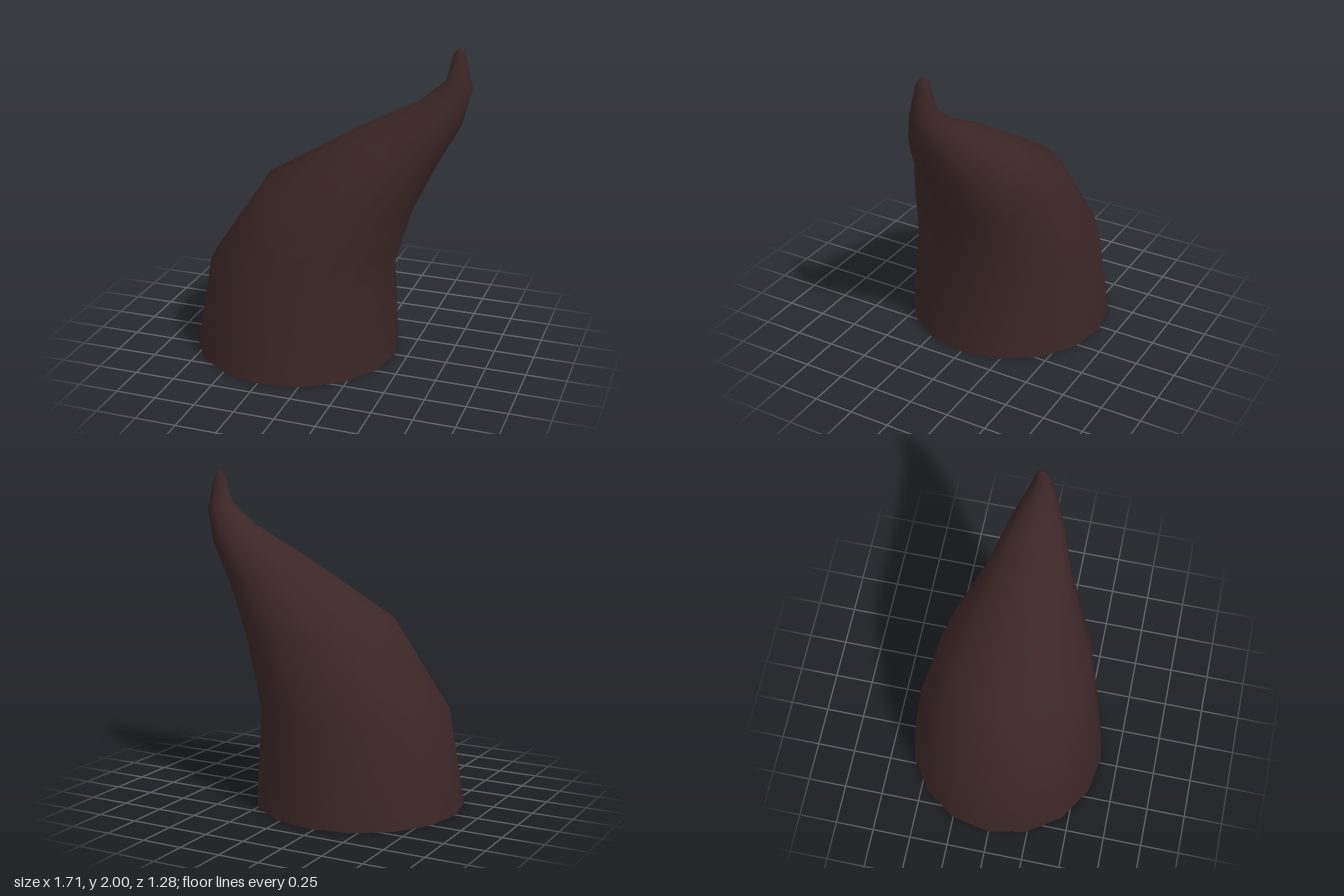
import * as THREE from 'three';

const SIDES = 16;

// Tilted cross-sections: left edge x, y; right edge x, y; half depth
const RINGS = [
  [-0.86, 0, 0.42, 0, 0.64],
  [-0.76, 0.59, 0.39, 0.56, 0.577],
  [-0.395, 1.13, 0.515, 0.985, 0.46],
  [0.16, 1.465, 0.655, 1.28, 0.265],
  [0.535, 1.66, 0.797, 1.54, 0.155],
  [0.695, 1.795, 0.852, 1.75, 0.08],
  [0.735, 1.955, 0.808, 1.95, 0.038],
];
const TIP = [0.77, 2, 0];

// Skin the cross-sections and close them with a point
function hornGeometry() {
  const positions = [];
  const index = [];
  for (const [lx, ly, rx, ry, depth] of RINGS) {
    for (let j = 0; j < SIDES; j++) {
      const a = (j / SIDES) * Math.PI * 2;
      const t = (1 + Math.cos(a)) / 2;
      positions.push(lx + (rx - lx) * t, ly + (ry - ly) * t, depth * Math.sin(a));
    }
  }
  positions.push(...TIP);
  const tip = RINGS.length * SIDES;
  for (let i = 0; i < RINGS.length; i++) {
    for (let j = 0; j < SIDES; j++) {
      const k = (j + 1) % SIDES;
      const a = i * SIDES + j;
      const b = i * SIDES + k;
      if (i === RINGS.length - 1) index.push(a, tip, b);
      else index.push(a, a + SIDES, b, b, a + SIDES, b + SIDES);
    }
  }
  const geometry = new THREE.BufferGeometry();
  geometry.setAttribute('position', new THREE.Float32BufferAttribute(positions, 3));
  geometry.setIndex(index);
  geometry.computeVertexNormals();
  return geometry;
}

export function createModel() {
  const group = new THREE.Group();
  group.name = 'horn';
  const darkBrown = new THREE.MeshStandardMaterial({ color: 0x3a2626 });
  darkBrown.name = 'darkBrown';

  // Curved body
  const body = new THREE.Mesh(hornGeometry(), darkBrown);
  body.name = 'hornBody';
  group.add(body);

  // Flat underside
  const base = new THREE.Mesh(new THREE.CircleGeometry(0.64, SIDES), darkBrown);
  base.name = 'hornBase';
  base.rotation.x = Math.PI / 2;
  base.position.x = -0.22;
  group.add(base);

  return group;
}
